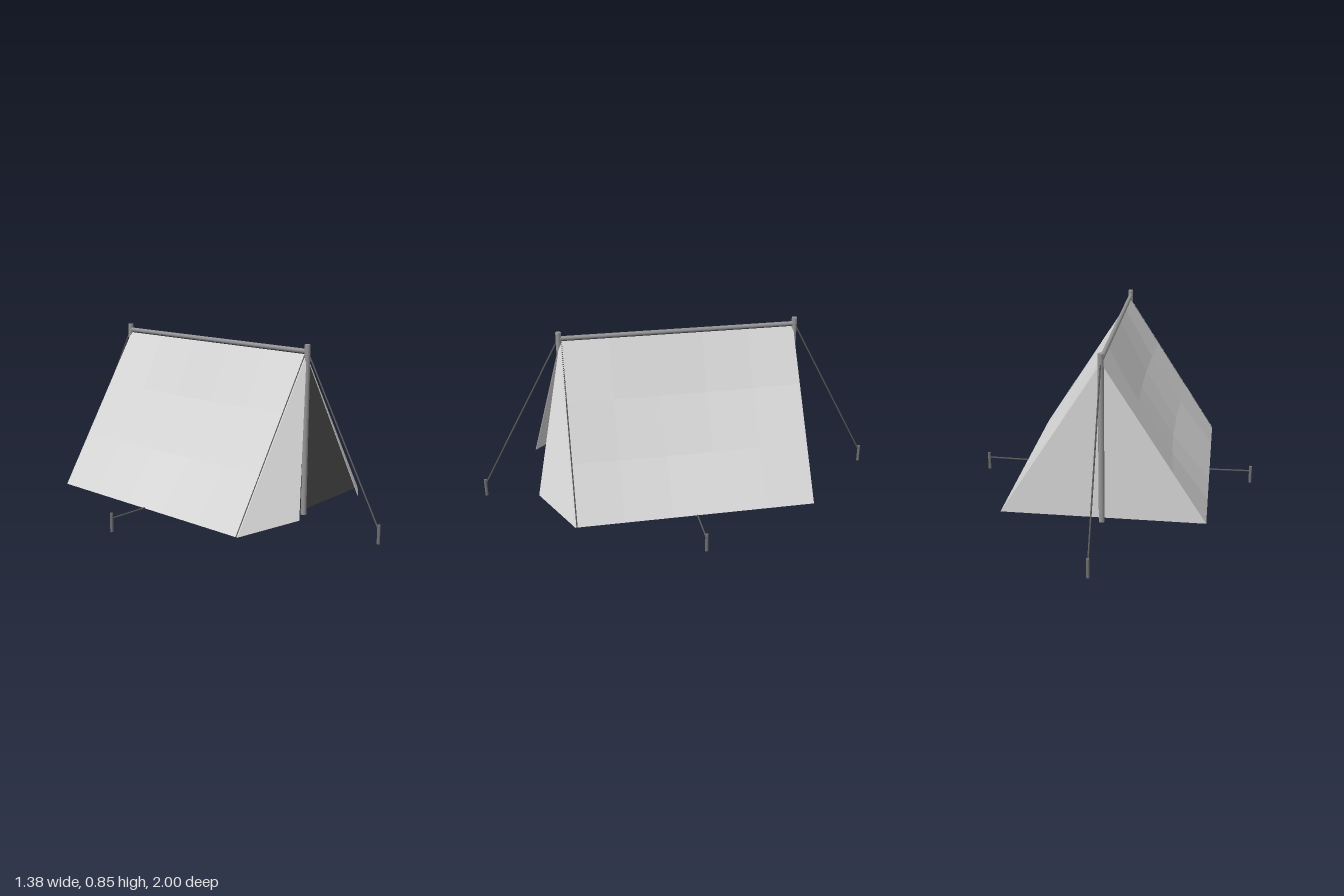
import * as THREE from 'three';
import { ConvexGeometry } from 'three/addons/geometries/ConvexGeometry.js';

const mat = (name, color, extra = {}) => {
  const m = new THREE.MeshStandardMaterial({ color, ...extra });
  m.name = name;
  return m;
};

export function createModel() {
  const tent = new THREE.Group();
  tent.name = 'tent';
  const canvas = mat('canvas', 0xd6d6d6, { side: THREE.DoubleSide });
  const interior = mat('dark interior', 0x505050);
  const wood = mat('pole', 0x949494);
  const rope = mat('rope', 0x5c5c5c);
  const iron = mat('peg', 0x707070);

  const HALF = 0.477, BASE = 0.06, APEX = 0.805, END = 0.575;
  const v = (x, y, z) => new THREE.Vector3(x, y, z);

  const add = (name, geometry, material) => {
    const mesh = new THREE.Mesh(geometry, material);
    mesh.name = name;
    tent.add(mesh);
    return mesh;
  };
  // Straight round bar between two points
  const bar = (name, a, b, radius, material, sides = 8) => {
    const dir = b.clone().sub(a);
    const mesh = add(name, new THREE.CylinderGeometry(radius, radius, dir.length(), sides), material);
    mesh.position.copy(a).add(b).multiplyScalar(0.5);
    mesh.quaternion.setFromUnitVectors(v(0, 1, 0), dir.normalize());
  };
  // Triangle of cloth with a little thickness towards -z
  const cloth = (name, corners, thickness, material) => {
    const back = corners.map((c) => c.clone().setZ(c.z - thickness));
    add(name, new ConvexGeometry([...corners, ...back]), material);
  };

  // Roof side in 5 x 3 flat patches, sagging slightly inward
  const roofSide = (s) => {
    const sheet = new THREE.PlaneGeometry(1, 1, 5, 3);
    const p = sheet.attributes.position;
    for (let i = 0; i < p.count; i++) {
      const u = p.getX(i) + 0.5, t = 0.5 - p.getY(i);
      const sag = 0.036 * Math.sin(Math.PI * u) * Math.sin(Math.PI * t);
      p.setXYZ(i,
        s * (HALF * t - 0.84 * sag),
        APEX + (BASE - APEX) * t - 0.54 * sag,
        s * END * (1 - 2 * u));
    }
    const g = sheet.toNonIndexed();
    g.computeVertexNormals();
    // One shared normal for the two triangles of each patch
    const n = g.attributes.normal;
    for (let q = 0; q < n.count; q += 6) {
      const mean = v().fromBufferAttribute(n, q).add(v().fromBufferAttribute(n, q + 3)).normalize();
      for (let k = 0; k < 6; k++) n.setXYZ(q + k, mean.x, mean.y, mean.z);
    }
    return g;
  };

  for (const s of [-1, 1]) {
    const side = s > 0 ? 'left' : 'right';
    add(side + 'RoofPanel', roofSide(s), canvas);

    // Door flap folded forward
    cloth(side + 'DoorFlap',
      [v(0, APEX, END + 0.004), v(s * HALF, BASE, END + 0.004), v(s * 0.237, 0.11, 0.732)], 0.004, canvas);

    // Side guy line and peg
    bar(side + 'GuyLine', v(s * HALF, BASE + 0.002, 0), v(s * 0.685, 0.065, 0), 0.0038, rope, 6);
    bar(side + 'Peg', v(s * 0.685, 0, 0), v(s * 0.685, 0.09, 0), 0.0075, iron);

    // End pole, guy line and peg
    const end = s > 0 ? 'front' : 'back';
    bar(end + 'Pole', v(0, 0.043, s * 0.584), v(0, 0.85, s * 0.584), 0.0135, wood, 12);
    bar(end + 'GuyLine', v(0, 0.81, s * 0.59), v(0, 0.065, s * 0.992), 0.0038, rope, 6);
    bar(end + 'Peg', v(0, 0, s * 0.9925), v(0, 0.09, s * 0.9925), 0.0075, iron);
  }

  // Closed back wall and dark doorway
  const gable = (z) => [v(0, APEX, z), v(-HALF, BASE, z), v(HALF, BASE, z)];
  cloth('backWall', gable(-END + 0.002), 0.006, canvas);
  cloth('doorway', gable(END - 0.001), 0.006, interior);

  // Ridge pole
  bar('ridgePole', v(0, 0.819, -0.584), v(0, 0.819, 0.584), 0.011, wood, 12);

  return tent;
}
